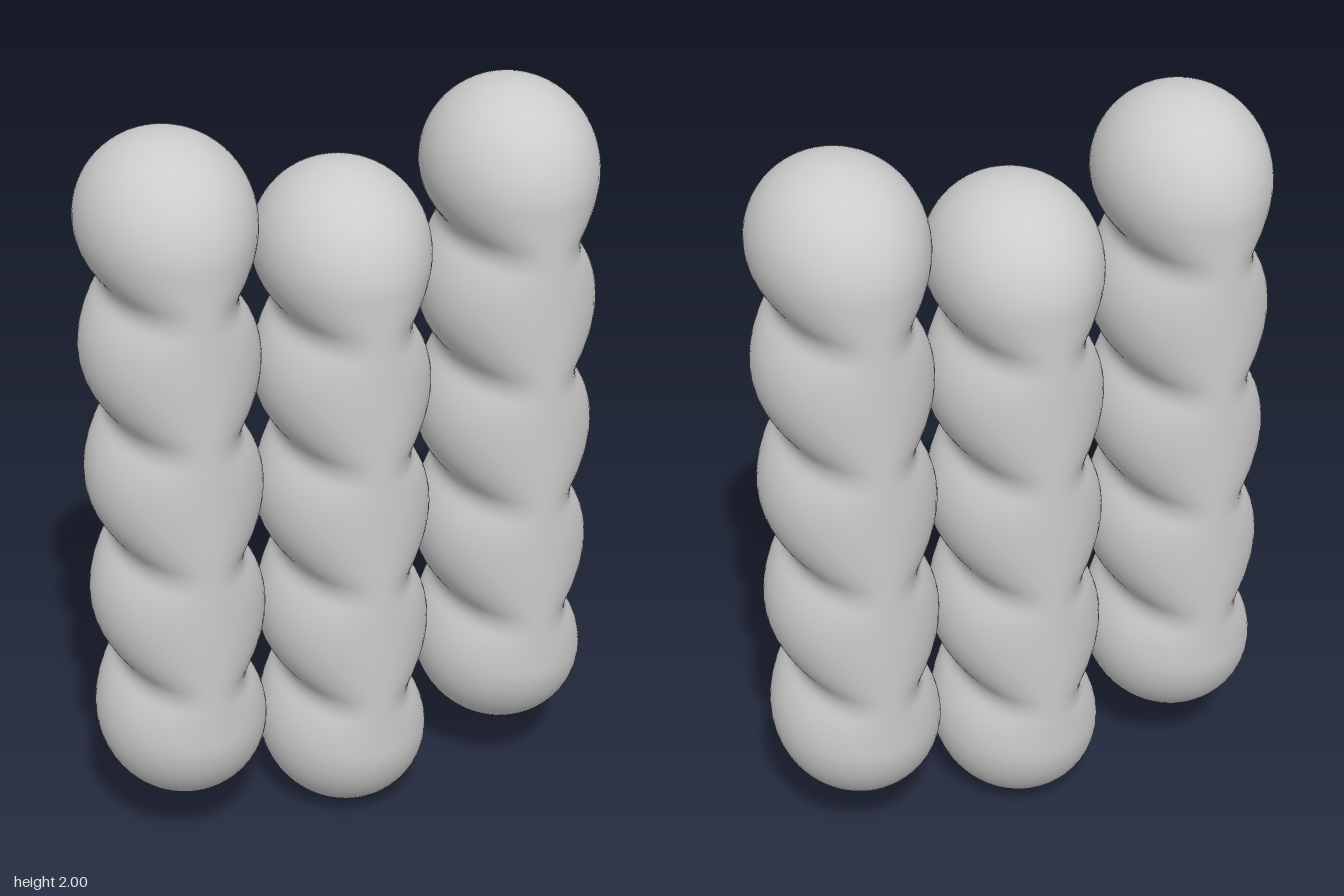
import * as THREE from 'three';
import { mergeVertices } from 'three/addons/utils/BufferGeometryUtils.js';

const R = 0.22;                     // lobe radius
const LOBES = 5;
const HEIGHT = 1.85;
const STEP = (HEIGHT - 2 * R) / (LOBES - 1);
const FILLET = 0.0515;              // rounding of the groove between lobes

// half width across x: a stack of circles joined by fillet arcs
function halfWidth(y) {
  const i = THREE.MathUtils.clamp(Math.round((y - R) / STEP), 0, LOBES - 1);
  const dy = y - R - i * STEP;
  const toGroove = STEP / 2 - Math.abs(dy);
  const outerEnd = (i === 0 && dy < 0) || (i === LOBES - 1 && dy > 0);
  const reach = R + FILLET;
  if (!outerEnd && toGroove < (STEP / 2) * FILLET / reach) {
    const d = Math.sqrt(reach * reach - STEP * STEP / 4);
    return d - Math.sqrt(FILLET * FILLET - toGroove * toGroove);
  }
  return Math.sqrt(Math.max(0, R * R - dy * dy));
}

// half depth along z: smooth sides with rounded ends
function halfDepth(y) {
  const end = 0.26;
  const k = Math.max(0, 1 - Math.min(y, HEIGHT - y) / end);
  const belly = 0.267 + 0.012 * Math.sin(Math.PI * y / HEIGHT);
  return belly * Math.sqrt(Math.max(0, 1 - k * k));
}

function columnGeometry() {
  // heights are packed closely at the round ends
  const ys = [];
  const endRows = 18, midRows = 120;
  for (let i = 0; i < endRows; i++) ys.push(R * (1 - Math.cos(i / endRows * Math.PI / 2)));
  for (let i = 0; i <= midRows; i++) ys.push(R + (HEIGHT - 2 * R) * i / midRows);
  for (let i = endRows - 1; i >= 0; i--) ys.push(HEIGHT - ys[i]);

  const points = ys.map((y, i) =>
    new THREE.Vector2(i === 0 || i === ys.length - 1 ? 0 : halfWidth(y), y));
  let geo = new THREE.LatheGeometry(points, 56);

  // stretch each ring into an ellipse
  const pos = geo.attributes.position;
  for (let i = 0; i < pos.count; i++) {
    const y = pos.getY(i), a = halfWidth(y);
    if (a > 1e-4) pos.setZ(i, pos.getZ(i) * halfDepth(y) / a);
  }
  geo.deleteAttribute('uv');
  geo.deleteAttribute('normal');
  geo = mergeVertices(geo, 1e-5);
  geo.computeVertexNormals();
  return geo;
}

export function createModel() {
  const model = new THREE.Group();
  model.name = 'lobedColumns';
  const material = new THREE.MeshStandardMaterial({ color: 0xcccccc });
  const geo = columnGeometry();
  // the outer pair stands a little higher than the middle one
  for (const [name, x, y] of [['rightColumn', -0.46, 0.15], ['middleColumn', 0, 0], ['leftColumn', 0.46, 0.15]]) {
    const column = new THREE.Mesh(geo, material);
    column.name = name;
    column.position.set(x, y, 0);
    model.add(column);
  }
  return model;
}
